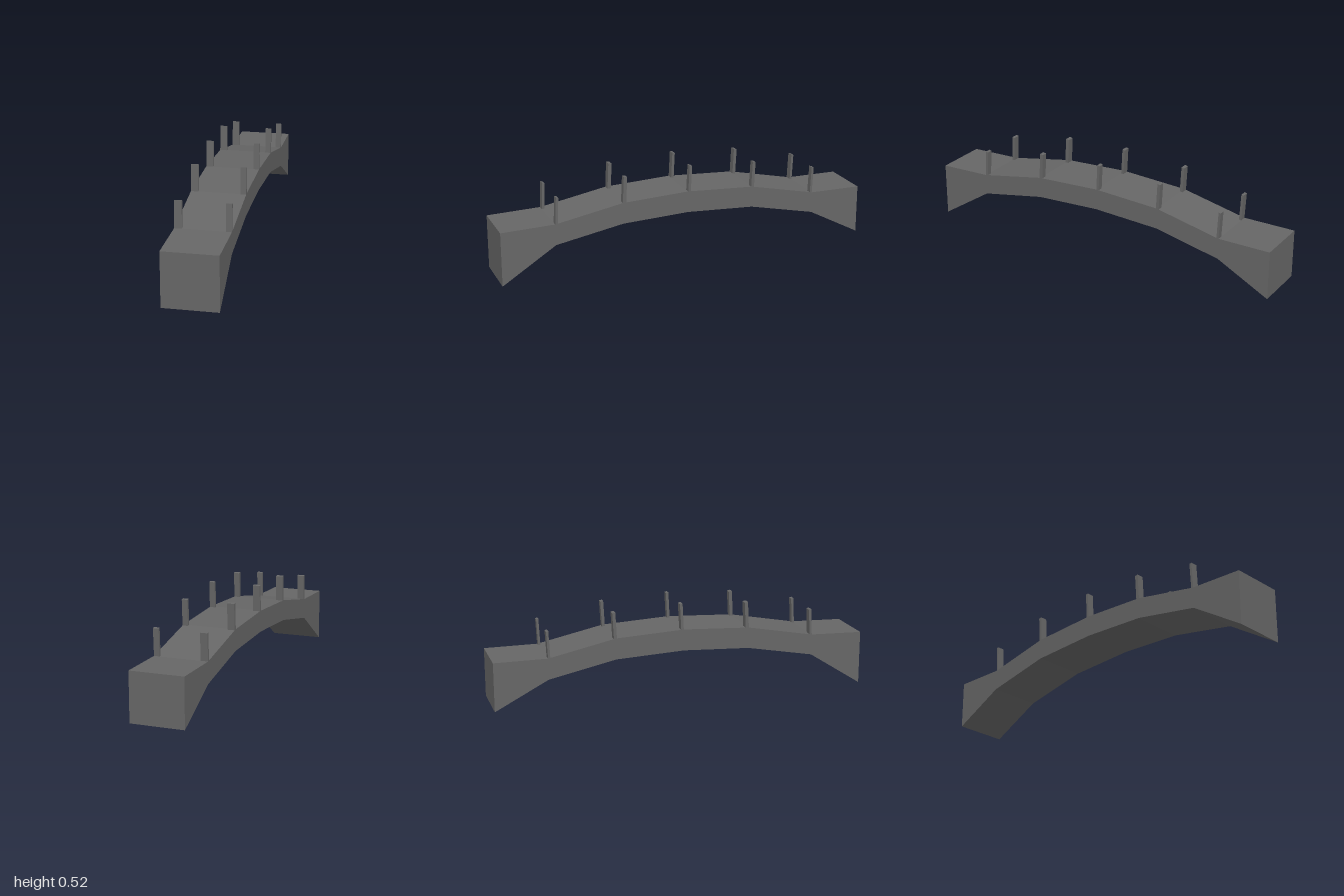
import * as THREE from 'three';

const material = new THREE.MeshStandardMaterial({ color: 0x666666, flatShading: true });

// Extrudes a side profile of [z, y] points across the span from x0 to x1.
function sideExtrusion(name, profile, x0, x1) {
  const shape = new THREE.Shape(profile.map(([z, y]) => new THREE.Vector2(z, y)));
  const geometry = new THREE.ExtrudeGeometry(shape, { depth: x1 - x0, bevelEnabled: false });
  geometry.rotateY(-Math.PI / 2);
  geometry.translate(x1, 0, 0);
  const mesh = new THREE.Mesh(geometry, material);
  mesh.name = name;
  return mesh;
}

export function createModel() {
  const bridge = new THREE.Group();
  bridge.name = 'archedBridge';

  // Arched deck with deep abutments at both ends
  const top = [[1, 0.285], [0.715, 0.294], [0.355, 0.362], [0, 0.38], [-0.365, 0.362], [-0.72, 0.286], [-1, 0.286]];
  const underside = [[-1, 0.028], [-0.72, 0.174], [-0.365, 0.25], [0, 0.267], [0.355, 0.25], [0.715, 0.183], [1, 0]];
  bridge.add(sideExtrusion('deck', [...top, ...underside], -0.142, 0.142));

  // Slightly leaning railing posts in pairs: z, top height, thickness
  const posts = [
    [0.707, 0.435, 0.013],
    [0.345, 0.501, 0.018],
    [-0.012, 0.519, 0.014],
    [-0.371, 0.499, 0.016],
    [-0.717, 0.429, 0.012],
  ];
  const lean = 0.004;
  posts.forEach(([z, height, thickness], i) => {
    const h = thickness / 2;
    const foot = top[i + 1][1] - 0.02;
    const profile = [
      [z + lean - h, foot], [z + lean + h, foot],
      [z - lean + h, height], [z - lean - h, height - 0.003],
    ];
    bridge.add(sideExtrusion(`rightPost${i + 1}`, profile, -0.142, -0.104));
    bridge.add(sideExtrusion(`leftPost${i + 1}`, profile, 0.112, 0.142));
  });

  return bridge;
}
